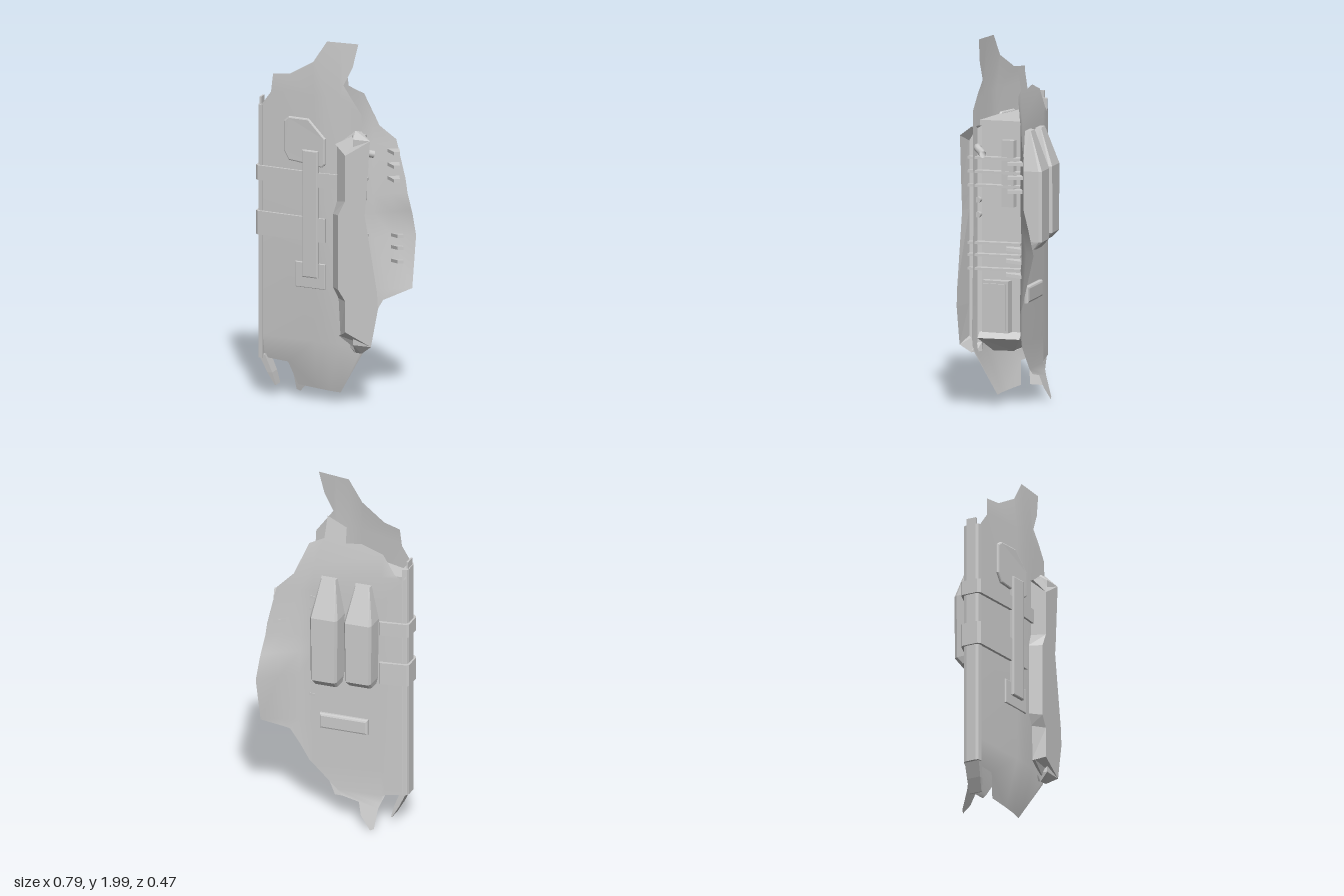
import * as THREE from 'three';
import { mergeVertices } from 'three/addons/utils/BufferGeometryUtils.js';

const smooth = new THREE.MeshStandardMaterial({ color: 0xcccccc, side: THREE.DoubleSide });
const flat = new THREE.MeshStandardMaterial({ color: 0xcccccc, side: THREE.DoubleSide, flatShading: true });

// piecewise linear lookup in a table of [input, output]
function ramp(table, t) {
  if (t <= table[0][0]) return table[0][1];
  for (let i = 1; i < table.length; i++) {
    const [a, va] = table[i - 1], [b, vb] = table[i];
    if (t <= b) return va + (vb - va) * (t - a) / (b - a);
  }
  return table[table.length - 1][1];
}

// depth of the front and back armour skins
const FRONT = [[-0.38, 0.1], [-0.05, 0.165], [0.02, 0.175], [0.1, 0.179], [0.23, 0.186]];
const BACK = [[-0.38, 0.01], [-0.25, -0.018], [0.13, -0.06], [0.2, -0.085], [0.29, -0.15], [0.39, -0.235]];
const FLARE = [[0.35, 0.6], [0.6, 0.63], [0.88, 1], [1.02, 0.84], [1.12, 0.69], [1.4, 0.75]];
const frontZ = (x, y) => ramp(FRONT, x) - 0.25 * Math.max(0, 0.35 - y) - 0.07 * Math.max(0, y - 1.7);
const backZ = (x, y) => {
  const base = ramp(BACK, x);
  return Math.max(base, -0.06) + Math.min(base + 0.06, 0) * ramp(FLARE, y)
    + ramp([[0, -0.06], [0.2, 0], [1.55, 0], [1.85, 0.045]], y);
};

// keep the part of a polygon where sign * (p[axis] - limit) >= 0
function clip(poly, axis, limit, sign) {
  const out = [];
  poly.forEach((p, i) => {
    const q = poly[(i + 1) % poly.length];
    const dp = sign * (p[axis] - limit), dq = sign * (q[axis] - limit);
    if (dp >= 0) out.push(p);
    if (dp * dq < 0) {
      const t = dp / (dp - dq);
      out.push([p[0] + (q[0] - p[0]) * t, p[1] + (q[1] - p[1]) * t]);
    }
  });
  return out;
}

// sheet: an outline cut into cells along its fold lines, then bent by z(x, y)
function sheet(outline, xs, ys, z) {
  const pos = [];
  for (let i = 1; i < xs.length; i++) for (let j = 1; j < ys.length; j++) {
    let c = clip(clip(outline, 0, xs[i - 1], 1), 0, xs[i], -1);
    c = clip(clip(c, 1, ys[j - 1], 1), 1, ys[j], -1);
    if (c.length < 3) continue;
    const v = c.map(p => new THREE.Vector2(...p));
    for (let [a, b, d] of THREE.ShapeUtils.triangulateShape(v, [])) {
      const area = THREE.ShapeUtils.area([v[a], v[b], v[d]]);
      if (Math.abs(area) < 1e-8) continue;
      if (area < 0) [b, d] = [d, b];
      for (const k of [a, b, d]) pos.push(v[k].x, v[k].y, z(v[k].x, v[k].y));
    }
  }
  const g = new THREE.BufferGeometry();
  g.setAttribute('position', new THREE.Float32BufferAttribute(pos, 3));
  const m = mergeVertices(g, 1e-4);
  m.computeVertexNormals();
  return m;
}

// loft: closed rings of equal point count, capped at both ends
function loft(rings) {
  const n = rings[0].length, last = (rings.length - 1) * n, index = [];
  for (let r = 0; r < rings.length - 1; r++) for (let i = 0; i < n; i++) {
    const a = r * n + i, b = r * n + (i + 1) % n;
    index.push(a, b, a + n, b, b + n, a + n);
  }
  for (let i = 1; i < n - 1; i++) index.push(0, i + 1, i, last, last + i, last + i + 1);
  const g = new THREE.BufferGeometry();
  g.setAttribute('position', new THREE.Float32BufferAttribute(rings.flat(2), 3));
  g.setIndex(index);
  g.computeVertexNormals();
  return g;
}

// prism: an (x, z) outline raised from y0 to y1
function prism(pts, y0, y1) {
  const s = new THREE.Shape(pts.map(p => new THREE.Vector2(...p)));
  return new THREE.ExtrudeGeometry(s, { depth: y1 - y0, bevelEnabled: false }).rotateX(Math.PI / 2).translate(0, y1, 0);
}

// slab: a bevelled (x, y) outline lying on a skin
function slab(pts, z, thick, bevel = 0.007) {
  const s = new THREE.Shape(pts.map(p => new THREE.Vector2(...p)));
  const g = new THREE.ExtrudeGeometry(s, {
    depth: thick, bevelThickness: bevel, bevelSize: bevel, bevelOffset: -bevel, bevelSegments: 2,
  }).translate(0, 0, -thick / 2);
  const p = g.attributes.position;
  for (let i = 0; i < p.count; i++) p.setZ(i, p.getZ(i) + z(p.getX(i), 1));
  g.computeVertexNormals();
  return g;
}
const rect = (x0, y0, x1, y1) => [[x0, y0], [x1, y0], [x1, y1], [x0, y1]];

export function createModel() {
  const model = new THREE.Group();
  const add = (name, geometry, material = flat) => {
    const m = new THREE.Mesh(geometry, material);
    m.name = name;
    model.add(m);
    return m;
  };
  const box = (name, x0, x1, y0, y1, z0, z1) =>
    add(name, new THREE.BoxGeometry(x1 - x0, y1 - y0, z1 - z0).translate((x0 + x1) / 2, (y0 + y1) / 2, (z0 + z1) / 2));

  // torn front and back skins
  add('frontSkin', sheet([
    [-0.38, 0.22], [-0.22, 0.21], [-0.17, 0.085], [0.08, 0.065], [0.23, 0.31], [0.24, 0.4], [0.22, 1.1],
    [0.23, 1.53], [0.225, 1.62], [0.12, 1.77], [0.17, 1.87], [0.2, 2], [0.02, 2], [-0.06, 1.88],
    [-0.2, 1.8], [-0.3, 1.79], [-0.31, 1.69], [-0.37, 1.61], [-0.38, 1.6],
  ], [-0.38, -0.05, 0.02, 0.1, 0.3], [0, 0.35, 1.1, 1.7, 2.01], frontZ), smooth);
  add('backSkin', sheet([
    [-0.38, 0.22], [-0.27, 0.21], [-0.24, 0.13], [-0.23, 0.02], [-0.21, 0.01], [-0.15, 0.08], [-0.13, 0.15],
    [-0.03, 0.17], [0.15, 0.35], [0.25, 0.54], [0.39, 0.6], [0.39, 0.87], [0.38, 1], [0.355, 1.2],
    [0.31, 1.42], [0.23, 1.5], [0.16, 1.68], [0.08, 1.72], [0.07, 1.85], [-0.04, 1.8], [-0.04, 1.71],
    [-0.13, 1.72], [-0.25, 1.68], [-0.32, 1.57], [-0.36, 1.54], [-0.38, 1.57],
  ], [-0.38, -0.25, 0.13, 0.2, 0.29, 0.4], [0, 0.2, 0.35, 0.6, 0.88, 1.02, 1.12, 1.4, 1.55, 1.9], backZ), smooth);

  // wedge core, chamfered at the foot, and the narrow spine
  const wedge = (y, right, inset) => [
    [-0.37, y, 0.015 + inset * 0.2], [-0.37, y, 0.095 - inset * 0.2], [-0.05, y, 0.16 - inset],
    [right, y, 0.172 - inset], [right - 0.028, y, -0.058 + inset], [0.1, y, -0.05 + inset],
  ];
  add('core', loft([wedge(0.31, 0.12, 0.06), wedge(0.385, 0.2, 0), wedge(0.42, 0.165, 0), wedge(1.56, 0.165, 0)]));
  add('spine', prism([[-0.36, 0.005], [-0.385, 0.015], [-0.39, 0.03], [-0.39, 0.085], [-0.385, 0.1], [-0.36, 0.106]], 0.22, 1.61));
  box('spineTip', -0.385, -0.375, 1.6, 1.65, 0.03, 0.085);
  add('spineSpur', loft([[0.24, -0.385, -0.35], [0.14, -0.34, -0.312], [0.07, -0.302, -0.295]].map(([y, a, b], i) => {
    const z0 = 0.015 - i * 0.005, z1 = 0.1 - i * 0.012;
    return [[a, y, z0], [a, y, z1], [b, y, z1], [b, y, z0]];
  })));

  // raised side guard: base edge, flat face, outer edge, thin lip, wall down to the core
  const guardRows = [
    [0.08, 1.45, 0.08, 1.45, 0.23, 1.53, 0.195], [0.08, 1.45, 0.15, 1.4, 0.29, 1.49, 0.235],
    [0.08, 1.13, 0.15, 1.15, 0.268, 1.16, 0.235], [0.06, 1.06, 0.11, 1.07, 0.26, 1.08, 0.235],
    [0.06, 0.66, 0.11, 0.66, 0.33, 0.66, 0.235], [0.09, 0.6, 0.15, 0.6, 0.335, 0.57, 0.235],
    [0.1, 0.4, 0.15, 0.43, 0.295, 0.36, 0.235], [0.1, 0.4, 0.1, 0.4, 0.23, 0.31, 0.195],
  ];
  add('sideGuard', loft(guardRows.map(([a, ya, b, yb, c, yc, z]) =>
    [[a, ya, 0.175], [b, yb, z], [c, yc, z], [0.19, yc, z - 0.012], [0.165, yc, 0.16]])));

  // straps wrapped round the spine
  const strap = (x) => [
    [x, frontZ(x, 1) + 0.014], [-0.05, 0.181], [-0.385, 0.116], [-0.4, 0.1], [-0.4, 0.01],
    [-0.385, -0.002], [-0.25, -0.035], [-0.24, -0.03], [-0.24, -0.015], [-0.375, 0.02], [-0.375, 0.09], [x, frontZ(x, 1) - 0.01],
  ];
  add('upperStrap', prism(strap(0.09), 1.2, 1.28));
  add('lowerStrap', prism(strap(0.02), 0.9, 1.03));

  // front pad, long bar and its bracket
  add('frontPad', slab([[-0.23, 1.38], [-0.2, 1.33], [0, 1.31], [0.02, 1.33], [0.02, 1.47], [-0.08, 1.57], [-0.2, 1.57], [-0.23, 1.545]], frontZ, 0.01, 0.008));
  add('frontBar', slab(rect(-0.115, 0.7, -0.02, 1.4), frontZ, 0.03));
  add('barBracket', slab(rect(-0.16, 0.64, 0.02, 0.78), frontZ, 0.008, 0.004));

  // two tapered back pods and a small hatch
  const pod = (cx, y0, h) => loft([[0, 0.072, 0.07], [0.04, 0.08, 0.108], [0.4, 0.085, 0.108], [0.6, 0.045, 0.035]].map(([y, w, d]) =>
    [[-1, 0], [-0.97, 0.85], [-0.85, 1], [0.7, 1], [0.84, 0.85], [1, 0]].map(([u, v]) => {
      const x = cx + u * w;
      return [x, y0 + y * h, backZ(x, 1) + 0.005 - v * d];
    })));
  add('innerPod', pod(-0.15, 0.89, 1));
  add('outerPod', pod(0.04, 0.865, 1.06));
  add('backHatch', slab(rect(-0.18, 0.57, 0.09, 0.66), backZ, 0.022, 0.012));

  // fittings on the open side
  box('sideRail', 0.12, 0.182, 1.1, 1.46, -0.03, 0.04);
  box('sideBoxFrame', 0.12, 0.2, 0.42, 0.7, -0.005, 0.145);
  box('sideBox', 0.12, 0.212, 0.435, 0.685, 0.005, 0.135);
  for (const y of [1.05, 1.13])
    add('rivet', new THREE.CylinderGeometry(0.016, 0.016, 0.03, 12).rotateZ(Math.PI / 2).translate(0.175, y, 0.175), smooth);
  const hose = new THREE.CatmullRomCurve3([[0.15, 1.41, 0.185], [0.21, 1.415, 0.168], [0.24, 1.4, 0.135], [0.268, 1.39, 0.112]]
    .map(p => new THREE.Vector3(...p)));
  add('hose', new THREE.TubeGeometry(hose, 12, 0.02, 10), smooth);

  // ribs across the core, with matching studs inside the back skin
  for (const y of [1.36, 1.285, 1.21, 0.9, 0.835, 0.76]) {
    add('rib', prism([[0.12, -0.064], [0.18, -0.066], [0.207, 0.16], [0.212, 0.224], [0.15, 0.224]], y - 0.007, y + 0.007));
    const tilt = y < 1 ? 0.15 : 0;
    const stud = add('stud', loft([-0.009, 0.009].map(h =>
      [[0.29, -0.114], [0.345, -0.145], [0.375, -0.07], [0.345, -0.055]].map(([x, z]) => [x, h + (z + 0.1) * tilt, z]))));
    stud.position.set(y > 1 ? -0.02 : 0, y, 0);
  }
  return model;
}
